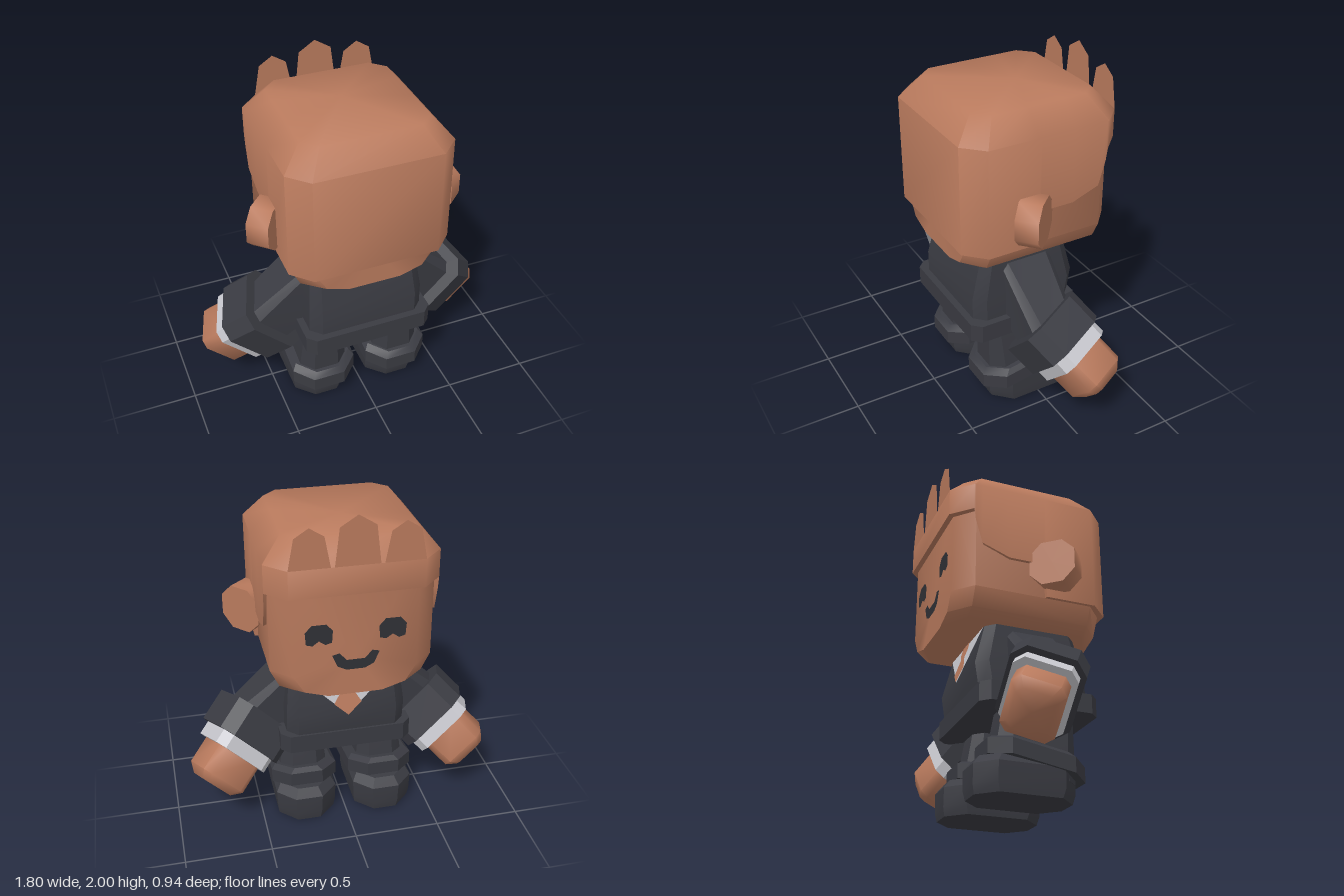
import * as THREE from 'three';
import { toCreasedNormals } from 'three/addons/utils/BufferGeometryUtils.js';

const V = (x, y, z) => new THREE.Vector3(x, y, z);
const X = V(1, 0, 0), Y = V(0, 1, 0), Z = V(0, 0, 1);

// Rectangle with cut corners, counter-clockwise, half sizes a and b
function octagon(a, b, c) {
  return [[a, -b + c], [a, b - c], [a - c, b], [-a + c, b], [-a, b - c], [-a, -b + c], [-a + c, -b], [a - c, -b]];
}
// Puts a flat outline into space around a centre, along axes u and v
function place(outline, centre, u, v) {
  return outline.map(([a, b]) => centre.clone().addScaledVector(u, a).addScaledVector(v, b));
}
// Horizontal cut-corner section spanning z0..z1
function level(y, halfX, z0, z1, cut, x = 0) {
  return place(octagon((z1 - z0) / 2, halfX, cut), V(x, y, (z0 + z1) / 2), Z, X);
}
// Mirrors sections to the other side, keeping faces outward
const mirror = (sections) => sections.map((s) => s.map((p) => V(-p.x, p.y, p.z)).reverse());

// Skin through cross-sections with closed ends
function loft(sections, crease) {
  const pos = [];
  const tri = (...pts) => pts.forEach((p) => pos.push(p.x, p.y, p.z));
  const n = sections[0].length;
  for (let s = 0; s + 1 < sections.length; s++) {
    const a = sections[s], b = sections[s + 1];
    for (let i = 0; i < n; i++) {
      const j = (i + 1) % n;
      tri(a[i], a[j], b[j]);
      tri(a[i], b[j], b[i]);
    }
  }
  const cap = (ring, flip) => {
    const mid = ring.reduce((m, p) => m.add(p), V(0, 0, 0)).divideScalar(n);
    ring.forEach((p, i) => {
      const q = ring[(i + 1) % n];
      flip ? tri(mid, q, p) : tri(mid, p, q);
    });
  };
  cap(sections[0], true);
  cap(sections[sections.length - 1], false);
  const g = new THREE.BufferGeometry();
  g.setAttribute('position', new THREE.Float32BufferAttribute(pos, 3));
  return toCreasedNormals(g, crease);
}

// Thin flat panel; depth gives z for each height
function panel(points, depth, dx = 0, dy = 0) {
  const g = new THREE.ShapeGeometry(new THREE.Shape(points.map(([x, y]) => new THREE.Vector2(x + dx, y + dy))));
  const p = g.attributes.position;
  for (let i = 0; i < p.count; i++) p.setZ(i, depth(p.getY(i)));
  g.computeVertexNormals();
  return g;
}

export function createModel() {
  const root = new THREE.Group();
  const material = (name, color, side = THREE.FrontSide) => {
    const m = new THREE.MeshStandardMaterial({ color, side });
    m.name = name;
    return m;
  };
  const clay = material('clay brown', 0xb97a5d, THREE.DoubleSide);
  const suit = material('charcoal', 0x3a3b42);
  const white = material('shirt white', 0xc6c6cc, THREE.DoubleSide);
  const ink = material('face dark', 0x303136, THREE.DoubleSide);

  const add = (name, geometry, mat) => {
    const m = new THREE.Mesh(geometry, mat);
    m.name = name;
    root.add(m);
  };
  const solid = (name, sections, mat, crease = 0.5) => add(name, loft(sections, crease), mat);
  const pair = (name, sections, mat, crease) => {
    solid(name + 'Left', sections, mat, crease);
    solid(name + 'Right', mirror(sections), mat, crease);
  };

  // Head: front and rear outlines narrower than the middle
  const headOutline = (half, foot, mid, z) => [
    [foot, 0.96], [mid, 1.0], [half, 1.1], [half, 1.7], [-half, 1.7], [-half, 1.1], [-mid, 1.0], [-foot, 0.96],
  ].map(([x, y]) => V(x, y, z));
  solid('head', [
    headOutline(0.34, 0.15, 0.28, -0.44), headOutline(0.45, 0.32, 0.4, -0.34),
    headOutline(0.45, 0.32, 0.4, 0.34), headOutline(0.34, 0.15, 0.28, 0.44),
  ], clay, 0.9);

  // Hair cap: rim points as x, z, lower edge height
  const half = [
    [0.36, 0.47, 1.1], [0.47, 0.36, 1.1], [0.47, 0.07, 1.1], [0.47, 0.05, 1.3], [0.47, -0.15, 1.3],
    [0.47, -0.31, 1.36], [0.47, -0.35, 1.5], [0.47, -0.36, 1.57], [0.36, -0.47, 1.57],
  ];
  const rim = [...half, ...half.map(([x, z, y]) => [-x, z, y]).reverse()];
  const crown = ([x, z]) => Math.abs(x) < 0.4
    ? V(Math.sign(x) * 0.28, 1.86, Math.sign(z) * 0.36)
    : V(Math.sign(x) * 0.36, 1.86, THREE.MathUtils.clamp(z, -0.28, 0.28));
  solid('hair', [
    rim.map(([x, z, y]) => V(x * 0.92, y, z * 0.92)),
    rim.map(([x, z, y]) => V(x, y, z)),
    rim.map(([x, z]) => V(x, 1.73, z)),
    rim.map(crown),
  ], clay, 1.0);

  // Flat hair tufts above the fringe
  [[0, 0.12, 0.095, 1.94, 2.0], [-0.25, 0.11, 0.078, 1.9, 1.95], [0.25, 0.11, 0.078, 1.9, 1.95]].forEach(([x, w, t, y, top]) =>
    add('hairTuft', panel([[-w, 1.73], [w, 1.73], [t, y], [0, top], [-t, y]], () => -0.47, x), clay));

  // Ears: angled eight-sided discs
  const earAxis = V(0.74, 0, -0.68).normalize();
  const earSide = earAxis.clone().cross(Y);
  pair('ear', [-0.065, 0.065].map((t) =>
    place(octagon(0.13, 0.13, 0.07), V(0.498, 1.28, 0.111).addScaledVector(earAxis, t), Y, earSide)), clay, 0.9);

  // Face
  const eye = [[-0.075, 0.02], [-0.04, 0.06], [0.04, 0.06], [0.075, 0.02], [0.07, -0.05],
    [0.035, -0.06], [0, -0.035], [-0.035, -0.06], [-0.07, -0.05]];
  const mouth = [[-0.13, 0.04], [-0.09, 0.05], [-0.05, 0.005], [0.05, 0.005], [0.09, 0.05], [0.13, 0.04],
    [0.1, -0.03], [0.05, -0.055], [-0.05, -0.055], [-0.1, -0.03]];
  for (const x of [-0.2, 0.2]) add('eye', panel(eye, () => -0.444, x, 1.34), ink);
  add('mouth', panel(mouth, () => -0.444, 0, 1.17), ink);

  // Jacket body and hem
  solid('jacket', [
    level(0.55, 0.345, -0.25, 0.37, 0.06), level(0.73, 0.345, -0.278, 0.37, 0.06), level(0.96, 0.32, -0.22, 0.31, 0.05),
  ], suit);
  solid('jacketHem', [level(0.49, 0.385, -0.27, 0.41, 0.05), level(0.6, 0.385, -0.27, 0.41, 0.05)], suit);

  // Shirt front and tie lie on the sloping chest
  const chest = (lift) => (y) => -0.22 - (0.96 - y) * 0.255 - lift;
  add('shirtFront', panel([[-0.26, 0.957], [0, 0.72], [0.26, 0.957]], chest(0.004)), white);
  add('tie', panel([[-0.05, 0.957], [-0.06, 0.91], [-0.03, 0.87], [-0.08, 0.79], [0, 0.72],
    [0.08, 0.79], [0.03, 0.87], [0.06, 0.91], [0.05, 0.957]], chest(0.008)), clay);

  // Arms: sections along a slanted axis
  const e1 = V(1, 1, 0).normalize();
  const axis = V(0.635, -0.635, -0.44).normalize();
  const e2 = axis.clone().cross(e1);
  const arm = (t, a, b, c) => place(octagon(a, b, c), V(0.535, 0.535, 0.006).addScaledVector(axis, t), e1, e2);
  pair('sleeve', [
    place(octagon(0.195, 0.155, 0.03), V(0.29, 0.762, 0.045), Y, Z), arm(-0.05, 0.16, 0.15, 0.05),
  ], suit);
  pair('sleeveCuff', [arm(-0.09, 0.22, 0.2, 0.07), arm(0.11, 0.22, 0.2, 0.07)], suit);
  pair('shirtCuff', [arm(0.05, 0.187, 0.17, 0.05), arm(0.195, 0.187, 0.17, 0.05)], white);
  pair('hand', [arm(0.15, 0.15, 0.14, 0.04), arm(0.36, 0.15, 0.14, 0.04), arm(0.41, 0.105, 0.1, 0.03)], clay, 1.0);

  // Legs, tilted trouser cuffs and shoes
  const tilted = (y, w, z0, z1) => level(y, w, z0, z1, 0.1, 0.235).map((p) => V(p.x, p.y - p.z * 0.18, p.z));
  pair('leg', [level(0.1, 0.15, -0.18, 0.28, 0.07, 0.235), level(0.24, 0.145, -0.17, 0.28, 0.07, 0.235),
    level(0.52, 0.115, -0.12, 0.28, 0.05, 0.235)], suit);
  pair('trouserCuff', [tilted(0.175, 0.195, -0.22, 0.33), tilted(0.26, 0.195, -0.22, 0.33),
    tilted(0.285, 0.17, -0.19, 0.3)], suit);
  pair('shoe', [level(0, 0.168, -0.28, 0.265, 0.1, 0.235), level(0.05, 0.175, -0.29, 0.28, 0.1, 0.235),
    level(0.16, 0.18, -0.29, 0.28, 0.1, 0.235), level(0.21, 0.15, -0.25, 0.25, 0.09, 0.235)], suit);

  return root;
}
